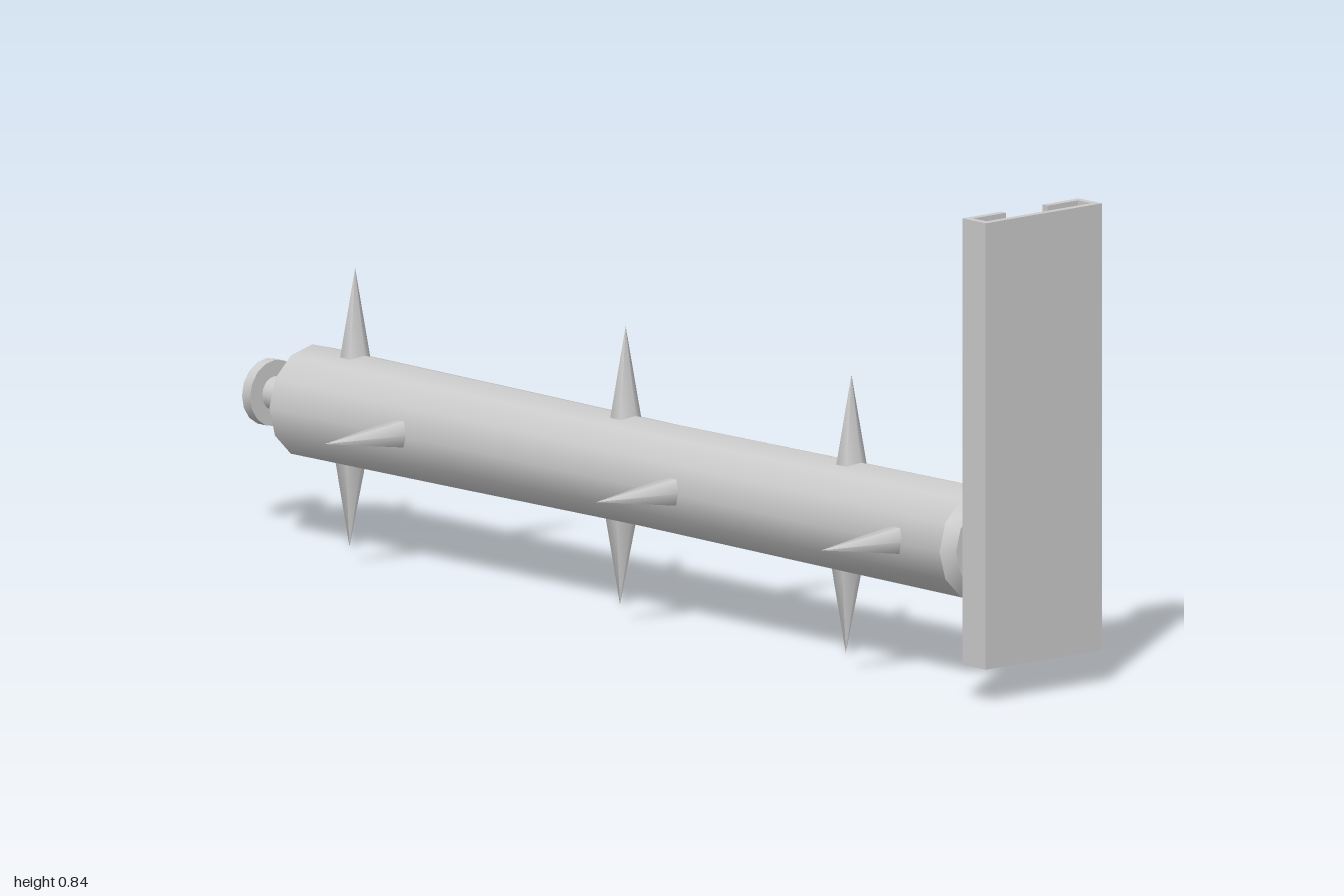
import * as THREE from 'three';
import { toCreasedNormals } from 'three/addons/utils/BufferGeometryUtils.js';

const AXIS_Y = 0.237, AXIS_Z = 0.003;

export function createModel() {
  const model = new THREE.Group();
  const material = new THREE.MeshStandardMaterial({ color: 0xcccccc });

  function add(name, geometry, parent = model) {
    const mesh = new THREE.Mesh(geometry, material);
    mesh.name = name;
    parent.add(mesh);
    return mesh;
  }

  // Turned part lying along x; profile is a list of [x, radius]
  function turned(name, profile, sides) {
    const points = profile.map(([x, r]) => new THREE.Vector2(r, x));
    const geometry = new THREE.LatheGeometry(points, sides).rotateZ(-Math.PI / 2);
    const mesh = add(name, toCreasedNormals(geometry, 0.6));
    mesh.position.set(0, AXIS_Y, AXIS_Z);
    return mesh;
  }

  // Log with chamfered ends and a slight waist
  turned('log', [
    [-0.905, 0], [-0.905, 0.078], [-0.884, 0.099], [-0.45, 0.097], [0, 0.094],
    [0.45, 0.097], [0.838, 0.099], [0.857, 0.078], [0.857, 0]
  ], 12);

  // Axle with a flange at each end
  turned('axle', [
    [-1, 0], [-1, 0.058], [-0.979, 0.058], [-0.979, 0.03],
    [0.957, 0.03], [0.957, 0.058], [0.977, 0.058], [0.977, 0]
  ], 16);

  // Spikes: alternate stations carry vertical and horizontal pairs
  const spikes = new THREE.Group();
  spikes.name = 'spikes';
  model.add(spikes);
  const up = new THREE.Vector3(0, 1, 0);
  function spike(base, tip) {
    const a = new THREE.Vector3(...base), b = new THREE.Vector3(...tip);
    const dir = b.clone().sub(a);
    const cone = new THREE.ConeGeometry(0.028, dir.length(), 6).rotateY(Math.PI / 2);
    const mesh = add('spike', cone, spikes);
    mesh.position.copy(a).add(b).multiplyScalar(0.5);
    mesh.quaternion.setFromUnitVectors(up, dir.normalize());
  }
  for (const x of [-0.775, -0.08, 0.5]) {
    spike([x, 0.32, 0.002], [x, 0.485, 0.002]);
    spike([x, 0.155, 0.012], [x, 0, 0.015]);
  }
  for (const x of [-0.56, 0.137, 0.715]) {
    spike([x, 0.239, 0.082], [x, 0.243, 0.265]);
    spike([x, 0.235, -0.08], [x, 0.232, -0.267]);
  }

  // Upright C-channel rail: section in x and z, extruded upwards
  const x0 = 0.94, x1 = 1, t = 0.013, z0 = -0.127, z1 = 0.141, g0 = -0.044, g1 = 0.052;
  const section = [
    [x0, g0], [x0, z0], [x1, z0], [x1, z1], [x0, z1], [x0, g1],
    [x0 + t, g1], [x0 + t, z1 - t], [x1 - t, z1 - t],
    [x1 - t, z0 + t], [x0 + t, z0 + t], [x0 + t, g0]
  ];
  const shape = new THREE.Shape(section.map(([x, z]) => new THREE.Vector2(x, -z)));
  const rail = new THREE.ExtrudeGeometry(shape, { depth: 0.78, bevelEnabled: false });
  add('rail', rail.rotateX(-Math.PI / 2)).position.y = 0.06;

  return model;
}
